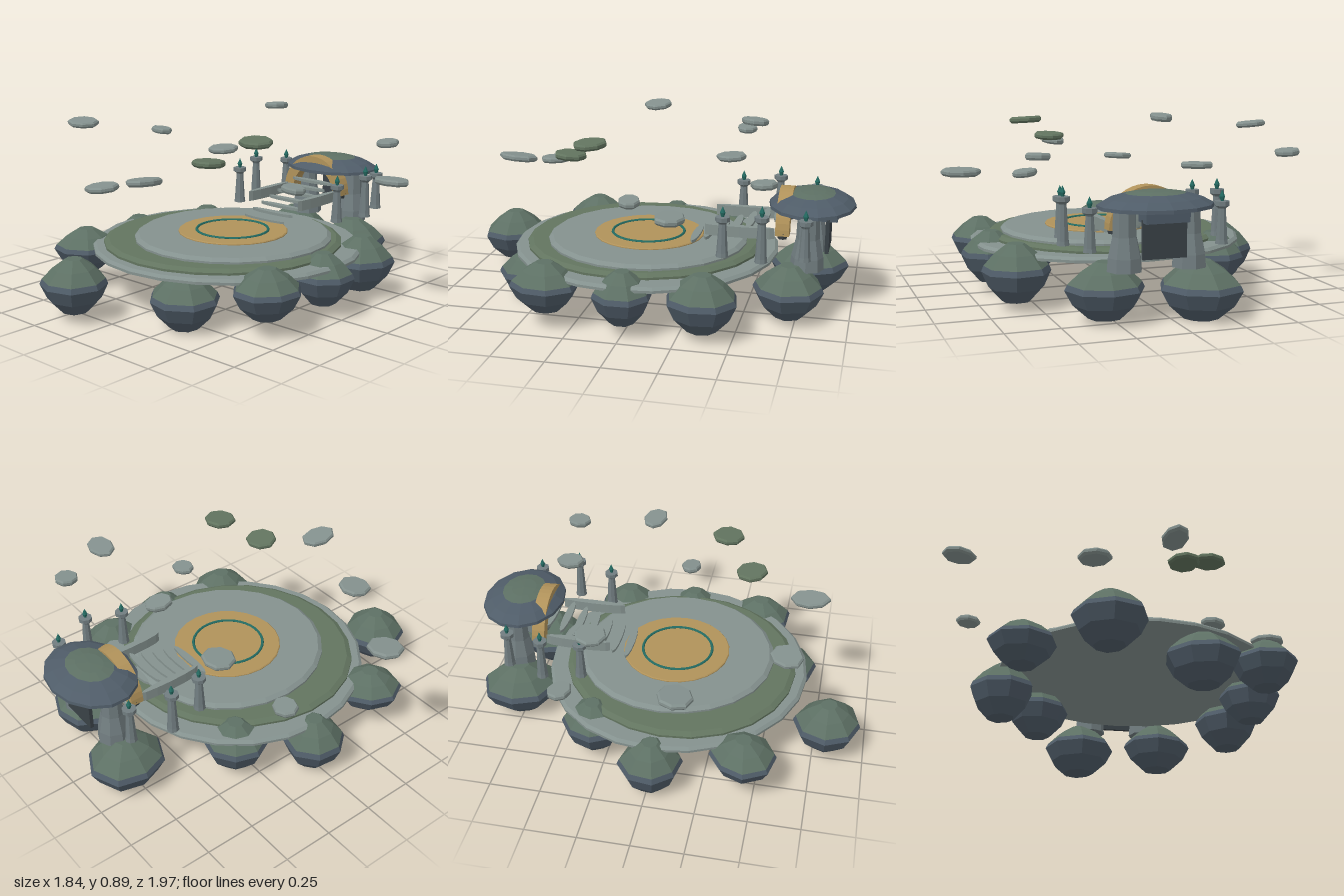
import * as THREE from 'three';

const mat = (color) => new THREE.MeshStandardMaterial({ color, flatShading: true, side: THREE.DoubleSide });
const STONE = mat(0x84918e), MOSS = mat(0x62745f), SLATE = mat(0x4f5c68), ROCKTOP = mat(0x5d7064),
  GOLD = mat(0xb0925a), TEAL = mat(0x246b62), DARK = mat(0x3a4247), PILLAR = mat(0x717d80);

export function createModel() {
  const root = new THREE.Group();

  const add = (name, geo, material, x = 0, y = 0, z = 0, parent = root) => {
    const m = new THREE.Mesh(geo, material);
    m.name = name;
    m.position.set(x, y, z);
    parent.add(m);
    return m;
  };
  // Turned form from [radius, height] pairs, listed bottom to top
  const turned = (profile, sides) =>
    new THREE.LatheGeometry(profile.map(([r, y]) => new THREE.Vector2(r, y)), sides);
  // Gently uneven outline that depends only on the angle and a seed
  const roughen = (geo, seed, amount) => {
    const p = geo.attributes.position;
    for (let i = 0; i < p.count; i++) {
      const a = Math.atan2(p.getZ(i), p.getX(i));
      const k = 1 + amount * (Math.sin(2 * a + seed * 1.7) + 0.6 * Math.sin(3 * a + seed * 2.9));
      p.setX(i, p.getX(i) * k);
      p.setZ(i, p.getZ(i) * k);
    }
    geo.computeVertexNormals();
    return geo;
  };

  // Stepped round platform
  const disc = (r, h, bevel) => [[0, 0], [r, 0], [r, h * 0.5], [r - bevel, h], [0, h]];
  add('platformBase', roughen(turned(disc(0.665, 0.025, 0.015), 24), 1, 0.012), STONE, 0.05, 0.245, 0.02);
  add('platformMossRing', roughen(turned(disc(0.585, 0.028, 0.025), 24), 2, 0.012), MOSS, 0.045, 0.267, 0.04);
  add('platformTop', roughen(turned(disc(0.49, 0.03, 0.02), 24), 3, 0.008), STONE, 0.085, 0.29, 0.01);
  add('goldFloor', turned(disc(0.272, 0.008, 0.004), 24), GOLD, 0.08, 0.32, 0.005);
  const ring = add('floorRing', new THREE.TorusGeometry(0.178, 0.007, 6, 36), TEAL, 0.08, 0.329, 0.01);
  ring.rotation.x = Math.PI / 2;

  // Supporting boulders: x, z, radius, bottom, top
  const boulders = [
    [-0.185, 0.81, 0.165, 0.05, 0.3], [-0.525, 0.44, 0.16, 0.1, 0.31], [0.27, 0.55, 0.17, 0.01, 0.26],
    [0.61, 0.375, 0.16, 0.09, 0.32], [0.635, 0, 0.145, 0.07, 0.315], [0.6, -0.36, 0.165, 0.05, 0.315],
    [0.29, -0.715, 0.175, 0.03, 0.28], [-0.135, -0.775, 0.19, 0.01, 0.27], [-0.4, -0.32, 0.155, 0.05, 0.305],
    [-0.595, 0.01, 0.155, 0.01, 0.28],
  ];
  boulders.forEach(([x, z, r, y0, y1], i) => {
    const h = y1 - y0, g = new THREE.Group();
    g.name = 'boulder';
    g.position.set(x, y0, z);
    g.rotation.y = i * 0.9;
    root.add(g);
    const body = [[0, 0], [r * 0.42, 0], [r * 0.8, h * 0.25], [r, h * 0.52], [r * 0.93, h * 0.62]];
    const top = [[r * 0.93, h * 0.62], [r * 0.62, h * 0.83], [r * 0.25, h], [0, h]];
    add('boulderBody', roughen(turned(body, 8), i, 0.04), SLATE, 0, 0, 0, g);
    add('boulderTop', roughen(turned(top, 8), i, 0.04), ROCKTOP, 0, 0, 0, g);
  });

  // Pavilion at the back: two flared columns, rear wall, lintel and shallow roof
  const cx = 0.08;
  for (const s of [-1, 1]) {
    add('pavilionColumn', turned([[0, 0.25], [0.08, 0.25], [0.075, 0.31], [0.055, 0.4], [0.05, 0.53], [0, 0.53]], 8),
      PILLAR, cx + s * 0.15, 0, -0.79);
  }
  add('rearWall', new THREE.BoxGeometry(0.2, 0.17, 0.018), DARK, cx, 0.395, -0.875);
  add('rearLintel', new THREE.BoxGeometry(0.2, 0.065, 0.09), SLATE, cx, 0.5, -0.875);
  const roof = add('pavilionRoof', turned([[0, 0.52], [1, 0.52], [0.99, 0.535], [0.8, 0.562], [0.52, 0.582]], 14),
    SLATE, 0.09, 0, -0.795);
  const crown = add('roofCrown', turned([[0.52, 0.582], [0.3, 0.591], [0, 0.594]], 14), ROCKTOP, 0.09, 0, -0.795);
  for (const m of [roof, crown]) m.scale.set(0.262, 1, 0.206);

  // Gold entrance arch with small dark feet
  const arch = new THREE.Shape();
  arch.absarc(0, 0, 0.19, 0, Math.PI, false);
  arch.absarc(0, 0, 0.132, Math.PI, 0, true);
  add('entranceArch', new THREE.ExtrudeGeometry(arch, { depth: 0.065, bevelEnabled: false, curveSegments: 10 }),
    GOLD, cx, 0.41, -0.705);
  for (const s of [-1, 1]) {
    add('archFoot', new THREE.CylinderGeometry(0.03, 0.022, 0.03, 7), DARK, cx + s * 0.161, 0.407, -0.672);
  }

  // Rising lens-shaped steps and the side rails
  for (let i = 0; i < 7; i++) {
    const step = add('step', new THREE.CylinderGeometry(1, 1, 0.014, 12), STONE, cx, 0.332 + i * 0.022, -0.235 - i * 0.067);
    step.scale.set(0.132, 1, 0.02);
  }
  for (const s of [-1, 1]) {
    const rail = add('stairRail', new THREE.CylinderGeometry(1, 1, 0.052, 12), STONE, cx + s * 0.165, 0.413, -0.47);
    rail.scale.set(0.017, 1, 0.165);
  }

  // Six lamp pillars in mirrored pairs: offset from centre, z, capital height
  for (const [dx, z, top] of [[0.325, -0.415, 0.53], [0.367, -0.6, 0.555], [0.305, -0.79, 0.53]]) {
    for (const s of [-1, 1]) {
      const g = new THREE.Group();
      g.name = 'lampPillar';
      g.position.set(cx + s * dx, 0, z);
      root.add(g);
      add('pillarShaft', turned([[0, 0.34], [0.03, 0.34], [0.027, 0.36], [0.018, top - 0.035], [0.02, top - 0.03],
        [0.034, top - 0.02], [0.034, top], [0, top]], 8), PILLAR, 0, 0, 0, g);
      add('lampTip', turned([[0, top], [0.007, top], [0.013, top + 0.02], [0, top + 0.05]], 6), TEAL, 0, 0, 0, g);
    }
  }

  // Floating slabs: x, y, z, half width, half depth, tilt about z
  const slabs = [
    [-0.78, 0.682, -0.35, 0.064, 0.054, -0.08], [-0.3, 0.635, -0.34, 0.08, 0.08, 0.03],
    [-0.055, 0.88, -0.49, 0.052, 0.066, 0.05], [0.56, 0.735, -0.62, 0.057, 0.058, 0.04],
    [0.825, 0.637, -0.26, 0.09, 0.066, 0.02], [-0.84, 0.782, 0.175, 0.082, 0.08, -0.08],
    [0.46, 0.587, 0.01, 0.064, 0.05, -0.1], [0.4, 0.832, 0.21, 0.083, 0.078, -0.04],
    [0.24, 0.735, 0.355, 0.077, 0.08, 0.02], [-0.225, 0.59, 0.59, 0.079, 0.08, 0.07],
    [0.135, 0.683, 0.66, 0.065, 0.095, 0.09],
  ];
  slabs.forEach(([x, y, z, rx, rz, tilt], i) => {
    const geo = roughen(turned([[0, -0.015], [0.88, -0.015], [1, -0.005], [1, 0.007], [0.9, 0.015], [0, 0.015]], 8), i, 0.03);
    const slab = add('floatingSlab', geo, i === 7 || i === 8 ? MOSS : STONE, x, y, z);
    slab.scale.set(rx, 1, rz);
    slab.rotation.set(i % 2 ? 0.06 : -0.06, 0, tilt);
  });

  return root;
}
